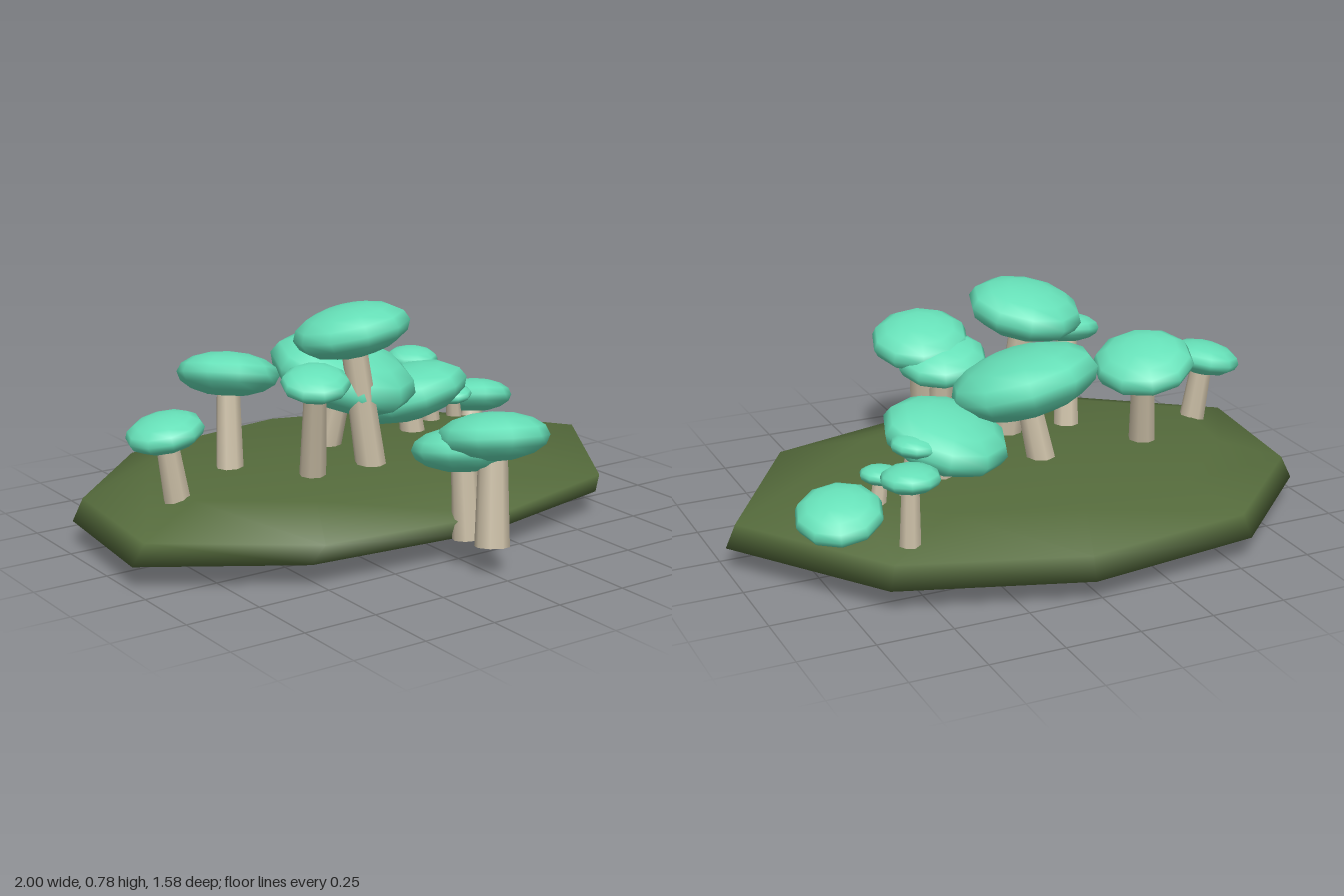
import * as THREE from 'three';

const mat = (name, color) => {
  const m = new THREE.MeshStandardMaterial({ color });
  m.name = name;
  return m;
};

// Irregular mound: one outline scaled into stacked rings, closed at both poles
function moundGeometry() {
  const outline = [[-0.95, -0.33], [-0.56, -0.71], [0.04, -0.79], [0.64, -0.59], [1, -0.08],
    [0.66, 0.45], [0.1, 0.59], [-0.54, 0.52], [-1, 0.19]];
  // y, scale, centre x, centre z, extra scale of the front half
  const rings = [
    [0.0, 0.56, -0.16, -0.13, 1],
    [0.08, 1, 0, 0, 0.9],
    [0.155, 0.965, 0, 0, 1.03],
    [0.225, 0.68, -0.06, -0.03, 1],
  ];
  const n = outline.length, pos = [], idx = [];
  for (const [y, s, cx, cz, front] of rings)
    for (const [x, z] of outline) pos.push(cx + x * s, y, cz + z * s * (z > 0 ? front : 1));
  const bottom = pos.length / 3, top = bottom + 1;
  pos.push(-0.16, 0, -0.13, -0.1, 0.245, -0.05);
  for (let i = 0; i < n; i++) {
    const j = (i + 1) % n, last = (rings.length - 1) * n;
    for (let k = 0; k < rings.length - 1; k++) {
      const a = k * n + i, b = k * n + j;
      idx.push(a, a + n, b + n, a, b + n, b);
    }
    idx.push(bottom, i, j, top, last + j, last + i);
  }
  const g = new THREE.BufferGeometry();
  g.setAttribute('position', new THREE.Float32BufferAttribute(pos, 3));
  g.setIndex(idx);
  g.computeVertexNormals();
  return g;
}

export function createModel() {
  const model = new THREE.Group();
  const moss = mat('mossGreen', 0x556b3c);
  const mint = mat('mintCap', 0x66e0b8);
  const cream = mat('creamStem', 0xc8bca4);

  const mound = new THREE.Mesh(moundGeometry(), moss);
  mound.name = 'mound';
  model.add(mound);

  const capGeometry = new THREE.SphereGeometry(1, 10, 8);
  const up = new THREE.Vector3(0, 1, 0);

  // Cap centre, cap radius, stem foot, stem radius, lean of the cap in x and z
  const mushrooms = [
    [[-0.785, 0.435, 0.01], 0.127, [-0.75, 0.19, 0.02], 0.045, -0.2, 0],
    [[-0.435, 0.53, -0.19], 0.17, [-0.47, 0.21, -0.13], 0.047, 0.2, -0.2],
    [[-0.33, 0.56, 0.175], 0.113, [-0.295, 0.22, 0.1], 0.045, -0.1, 0.2],
    [[-0.12, 0.685, 0.07], 0.195, [-0.07, 0.22, 0.11], 0.052, -0.14, -0.15],
    [[-0.035, 0.495, -0.105], 0.255, [-0.08, 0.23, -0.145], 0.05, 0.2, 0.22],
    [[0.27, 0.37, -0.155], 0.214, [0.285, 0.2, -0.14], 0.046, -0.2, -0.2],
    [[0.41, 0.39, -0.237], 0.082, [0.435, 0.19, -0.235], 0.036, -0.1, 0],
    [[0.525, 0.307, -0.23], 0.07, [0.545, 0.18, -0.24], 0.03, -0.1, 0.05],
    [[0.525, 0.39, -0.48], 0.096, [0.535, 0.175, -0.495], 0.036, 0, 0.05],
    [[0.71, 0.25, -0.345], 0.142, [0.685, 0.16, -0.325], 0.042, 0.15, -0.24],
    [[-0.01, 0.375, 0.53], 0.165, [-0.015, 0.09, 0.565], 0.05, 0.1, -0.2],
    [[0.037, 0.43, 0.62], 0.178, [0, 0.09, 0.67], 0.056, 0.1, -0.22],
  ];

  for (const [centre, r, foot, stemR, leanX, leanZ] of mushrooms) {
    const mushroom = new THREE.Group();
    mushroom.name = 'mushroom';

    const cap = new THREE.Mesh(capGeometry, mint);
    cap.name = 'cap';
    cap.position.set(...centre);
    cap.scale.set(r, r * 0.44, r);
    cap.quaternion.setFromUnitVectors(up, new THREE.Vector3(leanX, 1, leanZ).normalize());

    // Tapered stem running from the foot into the cap
    const a = new THREE.Vector3(...foot), b = new THREE.Vector3(...centre);
    const dir = b.clone().sub(a);
    const stem = new THREE.Mesh(
      new THREE.CylinderGeometry(stemR * 0.8, stemR, dir.length(), 8), cream);
    stem.name = 'stem';
    stem.position.copy(a).add(b).multiplyScalar(0.5);
    stem.quaternion.setFromUnitVectors(up, dir.normalize());

    mushroom.add(stem, cap);
    model.add(mushroom);
  }
  return model;
}
